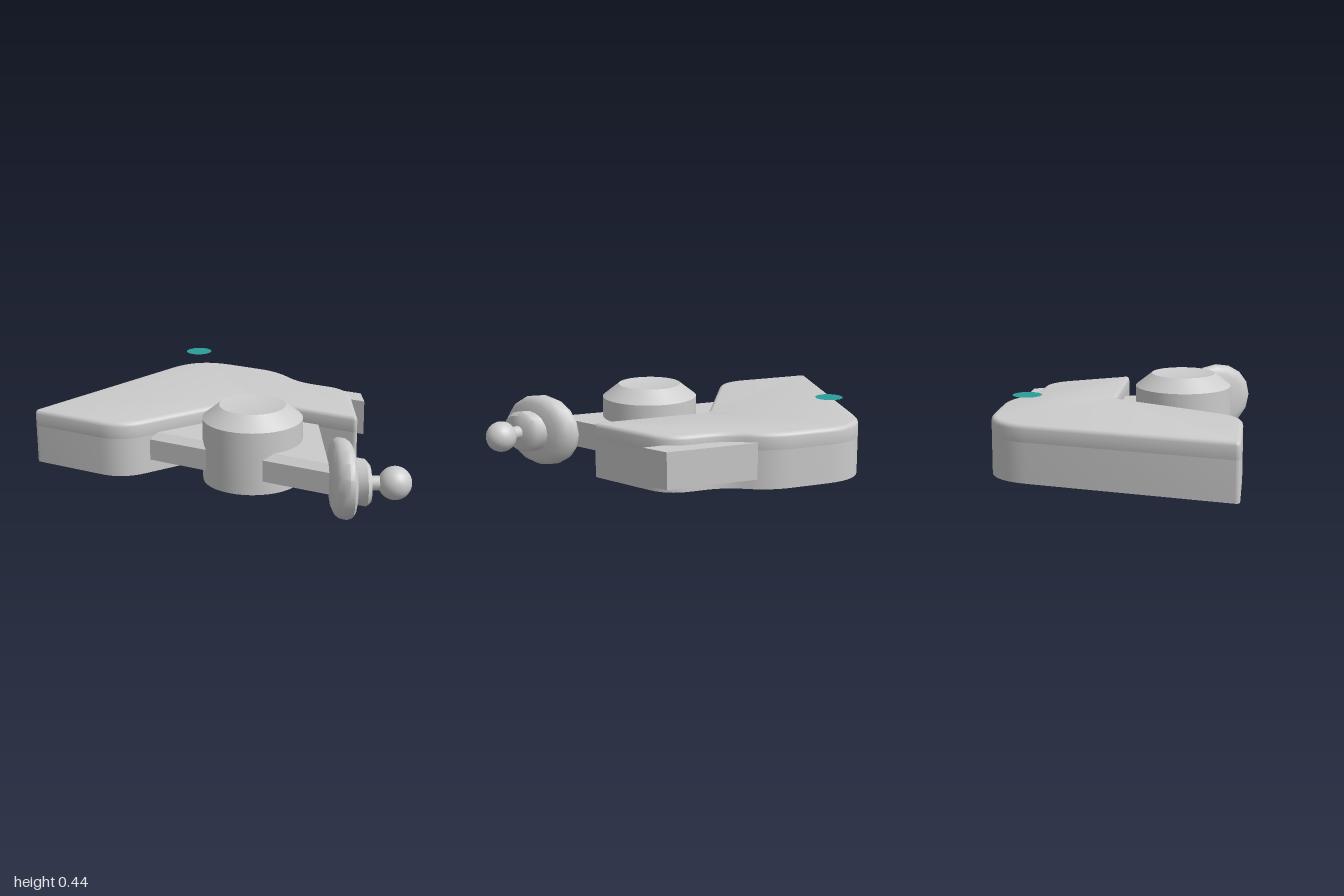
import * as THREE from 'three';
import { toCreasedNormals } from 'three/addons/utils/BufferGeometryUtils.js';

const grey = new THREE.MeshStandardMaterial({ color: 0xcccccc });
const teal = new THREE.MeshStandardMaterial({ color: 0x2a9d9a, side: THREE.DoubleSide });

// Outline from [x, z, rounding] corners seen from above
function outline(corners) {
  const shape = new THREE.Shape();
  const pts = corners.map(([x, z]) => new THREE.Vector2(x, -z));
  const n = pts.length;
  pts.forEach((p, i) => {
    const r = corners[i][2] || 0;
    const toward = (q) => p.clone().add(q.clone().sub(p).setLength(r));
    const a = toward(pts[(i + n - 1) % n]);
    const b = toward(pts[(i + 1) % n]);
    if (i === 0) shape.moveTo(a.x, a.y);
    else shape.lineTo(a.x, a.y);
    if (r > 0) shape.quadraticCurveTo(p.x, p.y, b.x, b.y);
  });
  shape.closePath();
  return shape;
}

// Upright prism between two heights, with an optional rounded rim
function slab(shape, y0, y1, bevel = 0) {
  const geo = new THREE.ExtrudeGeometry(shape, {
    depth: y1 - y0 - bevel, curveSegments: 8, bevelEnabled: bevel > 0,
    bevelSize: bevel, bevelThickness: bevel, bevelOffset: -bevel, bevelSegments: 3,
  });
  geo.rotateX(-Math.PI / 2).translate(0, y0, 0);
  return toCreasedNormals(geo, 0.6);
}

const lathe = (profile, sides) =>
  new THREE.LatheGeometry(profile.map(([r, h]) => new THREE.Vector2(r, h)), sides);

export function createModel() {
  const model = new THREE.Group();
  const add = (name, geo, material = grey, parent = model) => {
    const mesh = new THREE.Mesh(geo, material);
    mesh.name = name;
    parent.add(mesh);
    return mesh;
  };

  // Angled body: straight lower wall and a lid with a rounded top rim
  const bodyShape = outline([
    [-1.003, 0.61, 0.03], [-0.46, 0.61, 0.13], [-0.095, -0.06, 0.05], [0.54, -0.06, 0.03],
    [0.3, -0.488, 0.12], [0, -0.488, 0.1], [-0.2, -0.614, 0.11], [-0.733, -0.614, 0.22],
  ]);
  const body = new THREE.Group();
  body.name = 'body';
  model.add(body);
  add('bodyWall', slab(bodyShape, 0.05, 0.25), grey, body);
  add('bodyLid', slab(bodyShape, 0.25, 0.335, 0.022), grey, body);

  // Bar along the back with a slanted end
  add('backBar', slab(outline([[-0.25, -0.45], [0.41, -0.45], [0.335, -0.575], [-0.25, -0.575]]), 0.1, 0.288));

  // Triangular bracket, its front top edge chamfered
  const bracket = slab(outline([[-0.38, 0.47], [0.625, 0.47], [0.122, -0.4]]), 0.12, 0.23);
  add('bracket', bracket);
  add('bracketTop', slab(outline([[-0.357, 0.43], [0.602, 0.43], [0.122, -0.4]]), 0.229, 0.26));
  const chamfer = new THREE.BufferGeometry();
  chamfer.setAttribute('position', new THREE.Float32BufferAttribute([
    -0.38, 0.23, 0.47, 0.625, 0.23, 0.47, 0.602, 0.26, 0.43, -0.357, 0.26, 0.43,
    0.602, 0.23, 0.43, -0.357, 0.23, 0.43,
  ], 3));
  chamfer.setIndex([0, 1, 2, 0, 2, 3, 1, 4, 2, 0, 3, 5]);
  add('bracketChamfer', toCreasedNormals(chamfer, 0.3));

  // Round post with a sloping shoulder and shallow dished top
  const post = add('post', toCreasedNormals(lathe([
    [0, 0.05], [0.2525, 0.05], [0.2525, 0.37], [0.167, 0.437], [0.13, 0.43], [0, 0.425],
  ], 40), 0.75));
  post.position.set(0.11, 0, 0.275);

  // Side wheel: turned about x, then slanted to follow the bracket's edge
  const wheelGeo = lathe([
    [0, 0.61], [0.15, 0.61], [0.178, 0.625], [0.19, 0.65], [0.19, 0.69], [0.178, 0.715],
    [0.155, 0.73], [0.11, 0.74], [0.11, 0.79], [0.09, 0.812], [0, 0.815],
  ], 16);
  wheelGeo.rotateZ(-Math.PI / 2);
  const pos = wheelGeo.attributes.position;
  for (let i = 0; i < pos.count; i++) pos.setX(i, pos.getX(i) + pos.getZ(i) * 0.58);
  const wheel = add('sideWheel', toCreasedNormals(wheelGeo, 0.75));
  wheel.position.set(0, 0.195, 0.422);

  // Stem and ball knob outside the wheel
  const start = new THREE.Vector3(0.78, 0.195, 0.43);
  const end = new THREE.Vector3(0.914, 0.195, 0.36);
  const stem = add('knobStem', new THREE.CylinderGeometry(0.034, 0.036, start.distanceTo(end), 16));
  stem.position.copy(start).lerp(end, 0.5);
  stem.quaternion.setFromUnitVectors(new THREE.Vector3(0, 1, 0), end.clone().sub(start).normalize());
  add('ballKnob', new THREE.SphereGeometry(0.081, 24, 16)).position.copy(end);

  // Thin coloured marker disc above the rear corner
  const marker = add('markerDisc', new THREE.CircleGeometry(0.07, 32).rotateX(-Math.PI / 2), teal);
  marker.position.set(-0.61, 0.445, -0.423);

  return model;
}
